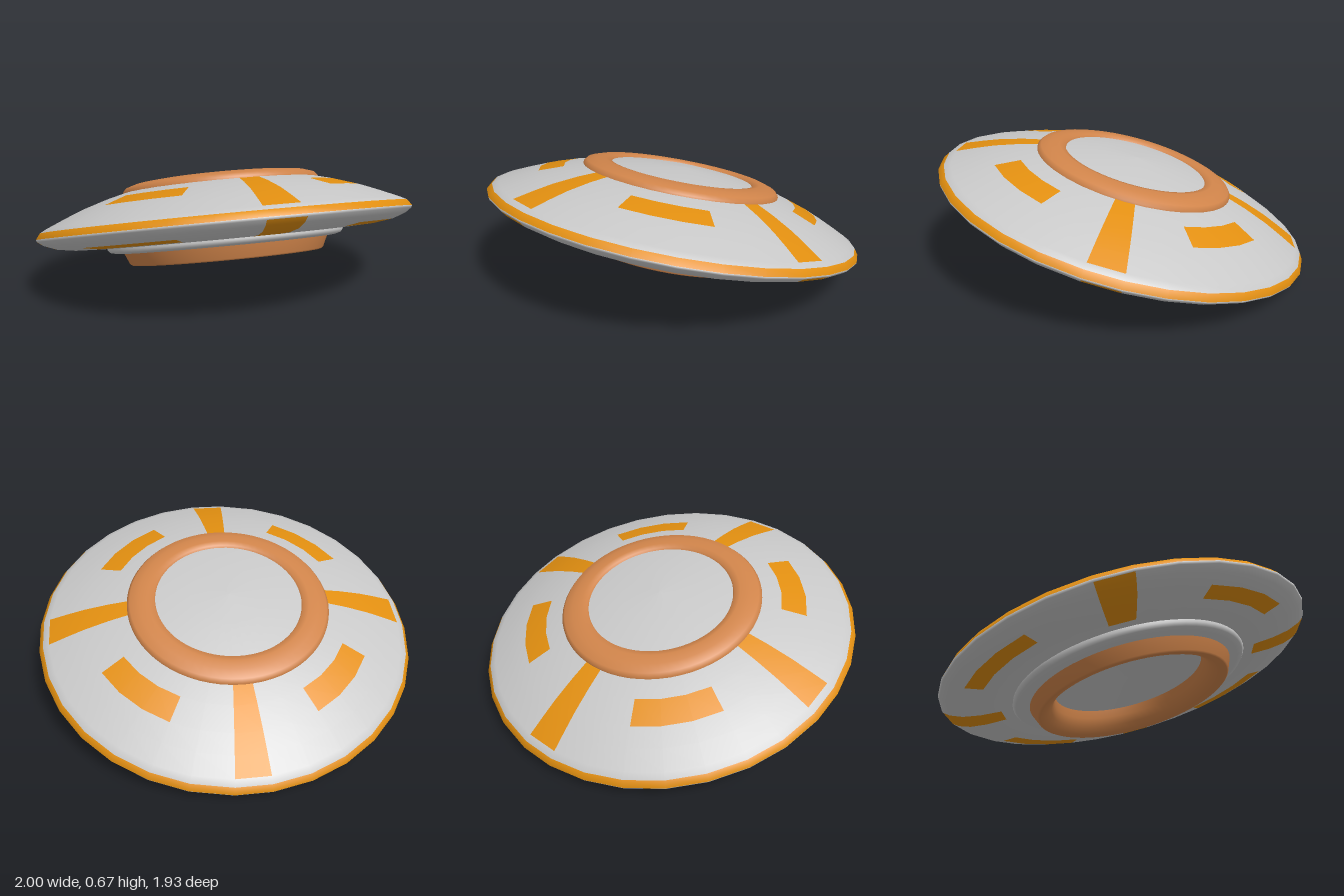
import * as THREE from 'three';

const SIDES = 32;
const material = (name, color) => Object.assign(new THREE.MeshStandardMaterial({ color }), { name });
const toPoints = (profile) => profile.map(([r, y]) => new THREE.Vector2(r, y));

// Hull profile from the underside centre, round the rim, to the top of the dome
const HULL = [
  [0, -0.04], [0.56, -0.05], [0.70, -0.066], [0.81, -0.061], [0.90, -0.047],
  [0.965, -0.022], [0.995, 0], [1, 0.012], [0.978, 0.043], [0.945, 0.061],
  [0.85, 0.104], [0.755, 0.144], [0.63, 0.186], [0.52, 0.216], [0.4, 0.242],
  [0.2, 0.27], [0, 0.28],
];

// Which hull faces are painted: rim band, radial stripes and short arc panels
function isPainted(column, row) {
  const c = column % 8;
  if (row === 7) return true;
  if (c === 7) return (row >= 2 && row <= 5) || (row >= 9 && row <= 12);
  return c >= 2 && c <= 4 && (row === 3 || row === 11);
}

function hullGeometry() {
  const geometry = new THREE.LatheGeometry(toPoints(HULL), SIDES);
  const position = geometry.attributes.position;
  const normal = geometry.attributes.normal;

  // Narrow the radial stripe columns slightly
  const up = new THREE.Vector3(0, 1, 0);
  const v = new THREE.Vector3();
  for (let i = 7; i < SIDES; i += 8) {
    for (let j = 0; j < HULL.length; j++) {
      const k = i * HULL.length + j;
      for (const attribute of [position, normal]) {
        v.fromBufferAttribute(attribute, k).applyAxisAngle(up, 0.015);
        attribute.setXYZ(k, v.x, v.y, v.z);
      }
    }
  }

  // Sort the faces into bare and painted groups
  const rows = HULL.length - 1;
  const source = Array.from(geometry.index.array);
  const bare = [], painted = [];
  for (let i = 0; i < SIDES; i++) {
    for (let j = 0; j < rows; j++) {
      const start = (i * rows + j) * 6;
      (isPainted(i, j) ? painted : bare).push(...source.slice(start, start + 6));
    }
  }
  geometry.setIndex([...bare, ...painted]);
  geometry.clearGroups();
  geometry.addGroup(0, bare.length, 0);
  geometry.addGroup(bare.length, painted.length, 1);
  return geometry;
}

export function createModel() {
  const grey = material('hull grey', 0xc8c8c8);
  const orange = material('painted orange', 0xe28f10);
  const copper = material('copper', 0xd0844a);

  const saucer = new THREE.Group();
  saucer.name = 'saucer';
  const add = (name, geometry, mat) => {
    const mesh = new THREE.Mesh(geometry, mat);
    mesh.name = name;
    saucer.add(mesh);
  };
  const lathe = (profile) => new THREE.LatheGeometry(toPoints(profile), 64);

  add('hull', hullGeometry(), [grey, orange]);

  // Raised ring round the dome
  add('topRing', lathe([
    [0.53, 0.2], [0.53, 0.222], [0.515, 0.24], [0.47, 0.255], [0.42, 0.261],
    [0.39, 0.256], [0.378, 0.235],
  ]), copper);

  // Rounded collar under the hull
  add('lowerCollar', lathe([
    [0.54, -0.1], [0.595, -0.1], [0.625, -0.092], [0.638, -0.075], [0.63, -0.05],
  ]), grey);

  // Hollow ring at the bottom with a sloping inner wall
  add('bottomRing', lathe([
    [0.405, -0.03], [0.42, -0.09], [0.445, -0.135], [0.48, -0.163], [0.515, -0.17],
    [0.525, -0.163], [0.553, -0.1], [0.556, -0.09], [0.55, -0.08],
  ]), copper);

  // Front edge tilted upward
  saucer.rotation.x = -Math.PI / 12;
  saucer.position.y = 0.3;

  const model = new THREE.Group();
  model.name = 'tiltedSaucer';
  model.add(saucer);
  return model;
}
